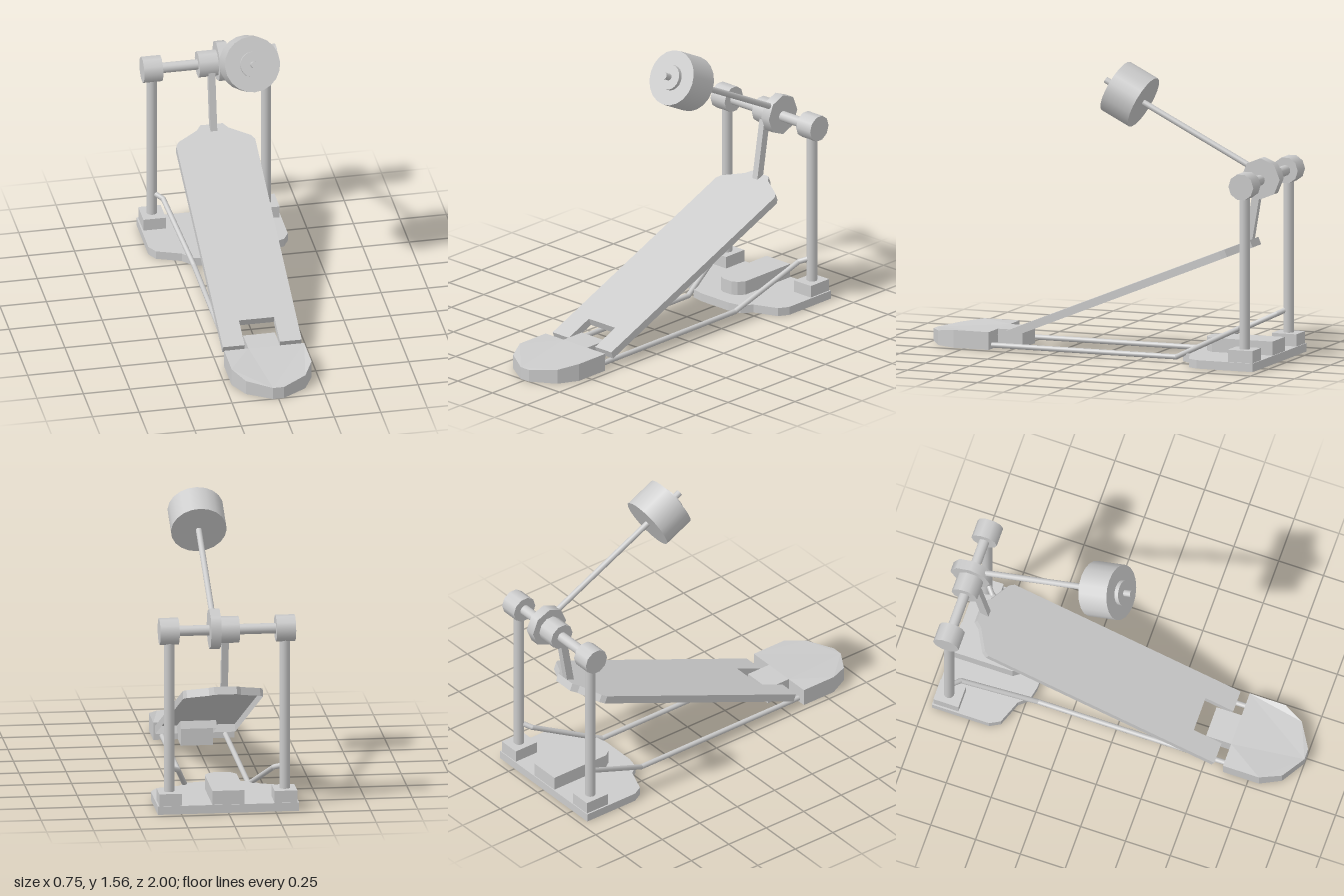
import * as THREE from 'three';

const material = new THREE.MeshStandardMaterial({ color: 0xcccccc });
const shellMaterial = new THREE.MeshStandardMaterial({ color: 0xcccccc, side: THREE.DoubleSide });
const v = (x, y, z) => new THREE.Vector3(x, y, z);

function add(parent, name, geometry, mat = material) {
  const mesh = new THREE.Mesh(geometry, mat);
  mesh.name = name;
  parent.add(mesh);
  return mesh;
}

// Round bar between two points
function bar(parent, name, a, b, radius, sides = 16) {
  const mesh = add(parent, name, new THREE.CylinderGeometry(radius, radius, a.distanceTo(b), sides));
  mesh.position.copy(a).lerp(b, 0.5);
  mesh.quaternion.setFromUnitVectors(v(0, 1, 0), b.clone().sub(a).normalize());
  return mesh;
}

// Pressed plate, open underneath, from the +x half of its outline given as [x, z]
function pressedPlate(half, height) {
  const mirrored = half.map(([x, z]) => [-x, z]).reverse();
  const shape = new THREE.Shape([...half, ...mirrored].map(([x, z]) => new THREE.Vector2(x, -z)));
  const geometry = new THREE.ExtrudeGeometry(shape, { depth: height, bevelEnabled: false });
  geometry.rotateX(-Math.PI / 2);
  const p = geometry.attributes.position;
  const kept = [];
  for (let i = 0; i < p.count; i += 3) {
    if (Math.max(p.getY(i), p.getY(i + 1), p.getY(i + 2)) < 1e-5) continue;
    for (let k = i; k < i + 3; k++) kept.push(p.getX(k), p.getY(k), p.getZ(k));
  }
  const open = new THREE.BufferGeometry();
  open.setAttribute('position', new THREE.Float32BufferAttribute(kept, 3));
  open.computeVertexNormals();
  return open;
}

export function createModel() {
  const model = new THREE.Group();
  model.name = 'footPedal';

  // Base plate and its raised centre block
  add(model, 'basePlate', pressedPlate([
    [0.375, -0.96], [0.375, -0.64], [0.345, -0.585], [0.215, -0.535], [0.17, -0.48], [0.1, -0.465],
  ], 0.045), shellMaterial);
  const block = add(model, 'baseBlock', pressedPlate([
    [0.085, -0.955], [0.085, -0.61], [0.06, -0.575], [0.03, -0.56],
  ], 0.075), shellMaterial);
  block.position.y = 0.045;

  // Heel plate with hinge tab, its top falling away toward the tip
  const heel = pressedPlate([
    [0.085, 0.47], [0.085, 0.61], [0.215, 0.61], [0.215, 0.81], [0.16, 0.92], [0.03, 1.0],
  ], 0.095);
  const p = heel.attributes.position;
  for (let i = 0; i < p.count; i++) {
    if (p.getY(i) > 0.05) p.setY(i, 0.095 - 0.15 * Math.max(0, p.getZ(i) - 0.81));
  }
  heel.computeVertexNormals();
  add(model, 'heelPlate', heel, shellMaterial);

  // Sloping footboard with a notch around the heel tab
  const slope = Math.atan(0.409), thickness = 0.042;
  const outline = [
    [0.095, 0.405], [0.095, 0.56], [0.212, 0.56], [0.212, -0.7],
    [0.195, -0.725], [0.085, -0.785], [0.06, -0.815],
  ].map(([x, z]) => [x, z / Math.cos(slope)]);
  const board = add(model, 'footboard', pressedPlate(outline, thickness), shellMaterial);
  board.rotation.x = slope;
  board.position.set(0, 0.317 - thickness * Math.cos(slope), -thickness * Math.sin(slope));

  // Posts, feet, bearing caps and bent side rods
  for (const [side, s] of [['left', 1], ['right', -1]]) {
    const foot = add(model, side + 'PostFoot', new THREE.BoxGeometry(0.12, 0.065, 0.14));
    foot.position.set(s * 0.306, 0.0775, -0.885);
    bar(model, side + 'Post', v(s * 0.307, 0.03, -0.887), v(s * 0.307, 0.95, -0.887), 0.028);
    bar(model, side + 'Bearing', v(s * 0.258, 0.98, -0.887), v(s * 0.36, 0.98, -0.887), 0.071, 10);

    const path = [v(0.307, 0.235, -0.885), v(0.255, 0.212, -0.84), v(0.168, 0.02, -0.44), v(0.168, 0.02, 0.63)];
    path.forEach((q) => { q.x *= s; });
    for (let i = 0; i < 3; i++) {
      bar(model, side + 'SideRod', path[i], path[i + 1], 0.014, 12);
      add(model, side + 'SideRodBend', new THREE.SphereGeometry(0.014, 12, 8)).position.copy(path[i]);
    }
  }

  // Axle, drive hub and beater clamp
  bar(model, 'axle', v(-0.3, 0.98, -0.887), v(0.3, 0.98, -0.887), 0.028);
  bar(model, 'driveHub', v(-0.062, 0.98, -0.887), v(0.042, 0.98, -0.887), 0.071, 10);
  bar(model, 'beaterClamp', v(0.04, 0.987, -0.89), v(0.095, 0.987, -0.89), 0.11, 8);

  // Flat link from hub to footboard
  const link = add(model, 'driveLink', new THREE.BoxGeometry(0.036, 0.335, 0.042));
  link.position.set(0.004, 0.795, -0.818);
  link.rotation.x = -0.17;

  // Beater built along its own y axis, then tilted forward
  const beater = new THREE.Group();
  beater.name = 'beater';
  beater.position.set(0.07, 1.39, -0.135);
  beater.rotation.x = Math.atan2(0.894, 0.447);
  model.add(beater);
  bar(beater, 'beaterRod', v(0, -0.83, 0), v(0, -0.05, 0), 0.016);
  bar(beater, 'beaterHead', v(0, -0.0875, 0), v(0, 0.0875, 0), 0.148, 20);
  bar(beater, 'beaterWasher', v(0, 0.08, 0), v(0, 0.11, 0), 0.068, 20);
  bar(beater, 'beaterRodTip', v(0, 0.1, 0), v(0, 0.152, 0), 0.018, 10);

  return model;
}
